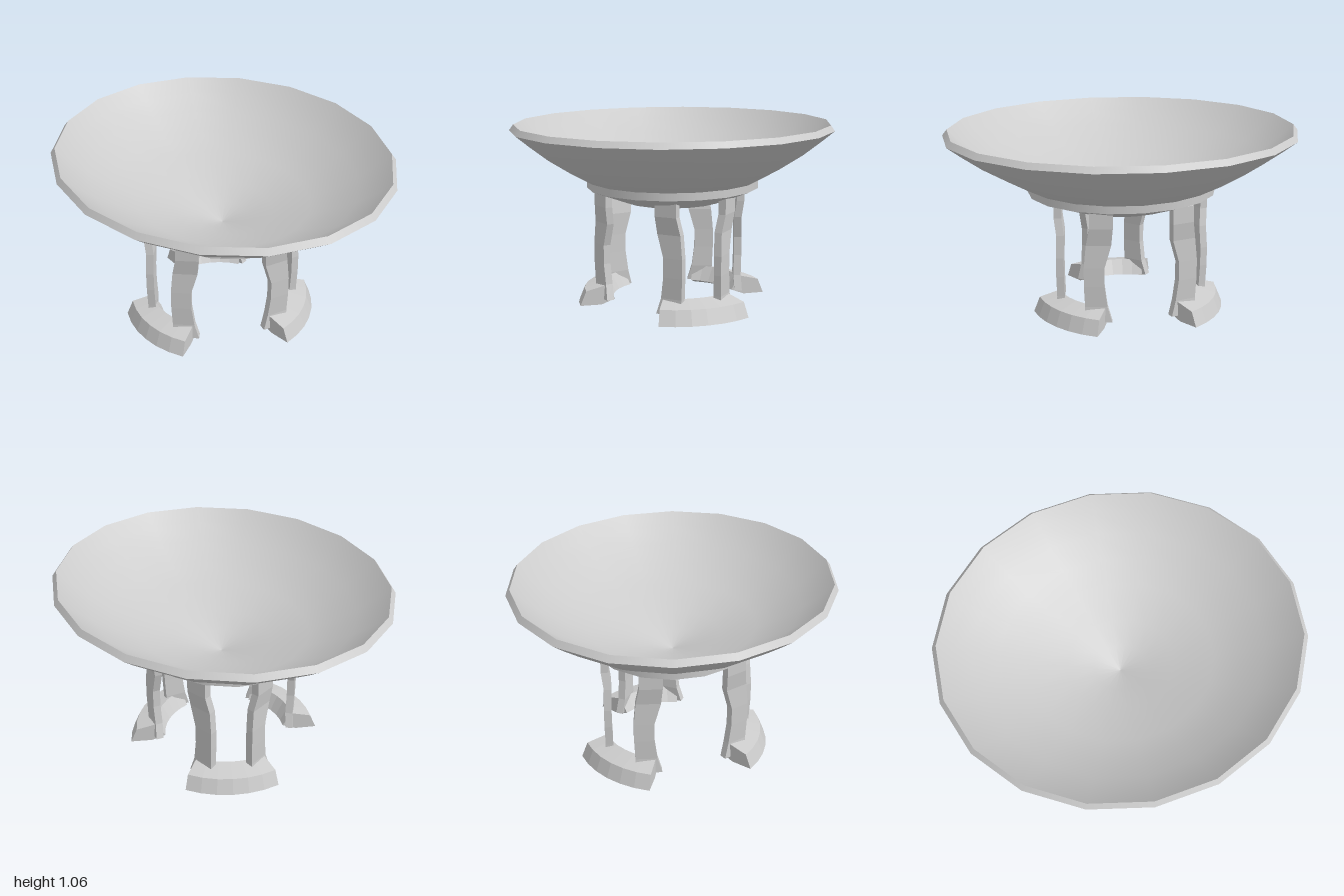
import * as THREE from 'three';

const SIDES = 18;
const material = new THREE.MeshStandardMaterial({ color: 0xcccccc });
const flatMaterial = new THREE.MeshStandardMaterial({ color: 0xcccccc, flatShading: true });
const bothSides = new THREE.MeshStandardMaterial({ color: 0xcccccc, side: THREE.DoubleSide });

// Turned surface, slightly oval; profile points are [radius, y]
function turned(name, profile, mat = material) {
  const points = profile.map(([r, y]) => new THREE.Vector2(r, y));
  const geometry = new THREE.LatheGeometry(points, SIDES);
  geometry.scale(1.015, 1, 0.92);
  const mesh = new THREE.Mesh(geometry, mat);
  mesh.name = name;
  return mesh;
}

// Skin through equal cross-sections, with closed ends
function loft(name, rings) {
  const n = rings[0].length;
  const index = [];
  for (let i = 0; i < rings.length - 1; i++) {
    for (let j = 0; j < n; j++) {
      const k = (j + 1) % n;
      const a = i * n + j, b = i * n + k, c = b + n, d = a + n;
      index.push(a, b, c, a, c, d);
    }
  }
  const last = (rings.length - 1) * n;
  for (let j = 1; j < n - 1; j++) {
    index.push(0, j + 1, j, last, last + j, last + j + 1);
  }
  const indexed = new THREE.BufferGeometry();
  indexed.setAttribute('position', new THREE.Float32BufferAttribute(rings.flat(2), 3));
  indexed.setIndex(index);
  const geometry = indexed.toNonIndexed();
  geometry.computeVertexNormals();
  const mesh = new THREE.Mesh(geometry, flatMaterial);
  mesh.name = name;
  return mesh;
}

// Curved foot block: one section swept along an arc
function makeFoot() {
  const section = [[0.565, 0], [0.44, 0], [0.36, 0.03], [0.41, 0.115], [0.53, 0.085]];
  const rings = [];
  const steps = 6, half = THREE.MathUtils.degToRad(28);
  for (let i = 0; i <= steps; i++) {
    const a = -half + (2 * half * i) / steps;
    rings.push(section.map(([r, y]) => [r * Math.sin(a), y, r * Math.cos(a)]));
  }
  return loft('foot', rings);
}

// Wavy flat leg, turned 45 degrees outward; side is 1 or -1
function makeLeg(side) {
  // y, centre x, centre z, width
  const levels = [
    [0.03, 0.16, 0.385, 0.15],
    [0.12, 0.145, 0.39, 0.125],
    [0.24, 0.14, 0.4, 0.115],
    [0.35, 0.14, 0.4, 0.115],
    [0.48, 0.155, 0.38, 0.14],
    [0.58, 0.175, 0.38, 0.13],
    [0.675, 0.175, 0.38, 0.13],
  ];
  const s = Math.SQRT1_2, t = 0.022;
  const rings = levels.map(([y, x, z, w]) => {
    const corners = [[-1, 1], [1, 1], [1, -1], [-1, -1]].map(([e, m]) => [
      side * (x + s * (e * w / 2 + m * t)),
      y,
      z + s * (-e * w / 2 + m * t),
    ]);
    return side > 0 ? corners : corners.reverse();
  });
  return loft('leg', rings);
}

export function createModel() {
  const model = new THREE.Group();
  model.name = 'footedBowl';

  // Bowl: outer shell, bevelled rim, inner hollow
  const bowl = new THREE.Group();
  bowl.name = 'bowl';
  bowl.add(
    turned('bowlOutside', [[0, 0.565], [0.15, 0.612], [0.31, 0.662], [0.535, 0.735],
      [0.67, 0.805], [0.81, 0.888], [0.92, 0.967], [1, 1.028]]),
    turned('bowlRim', [[1, 1.028], [0.975, 1.06]]),
    turned('bowlInside', [[0.975, 1.06], [0.9, 0.99], [0.79, 0.908], [0.66, 0.832],
      [0.52, 0.762], [0.3, 0.69], [0.15, 0.64], [0, 0.593]]),
  );
  model.add(bowl);

  // Support collar under the bowl, open in the middle
  const collar = new THREE.Group();
  collar.name = 'collar';
  collar.add(
    turned('collarTaper', [[0.313, 0.613], [0.537, 0.693]], bothSides),
    turned('collarBand', [[0.537, 0.693], [0.537, 0.738]], bothSides),
    turned('collarOpening', [[0.313, 0.663], [0.313, 0.613]], bothSides),
  );
  model.add(collar);

  // Three supports, each a curved foot with two legs
  for (const degrees of [0, 122, -122]) {
    const support = new THREE.Group();
    support.name = 'support';
    support.add(makeFoot(), makeLeg(1), makeLeg(-1));
    support.position.x = -0.03;
    support.rotation.y = THREE.MathUtils.degToRad(degrees);
    model.add(support);
  }
  return model;
}
